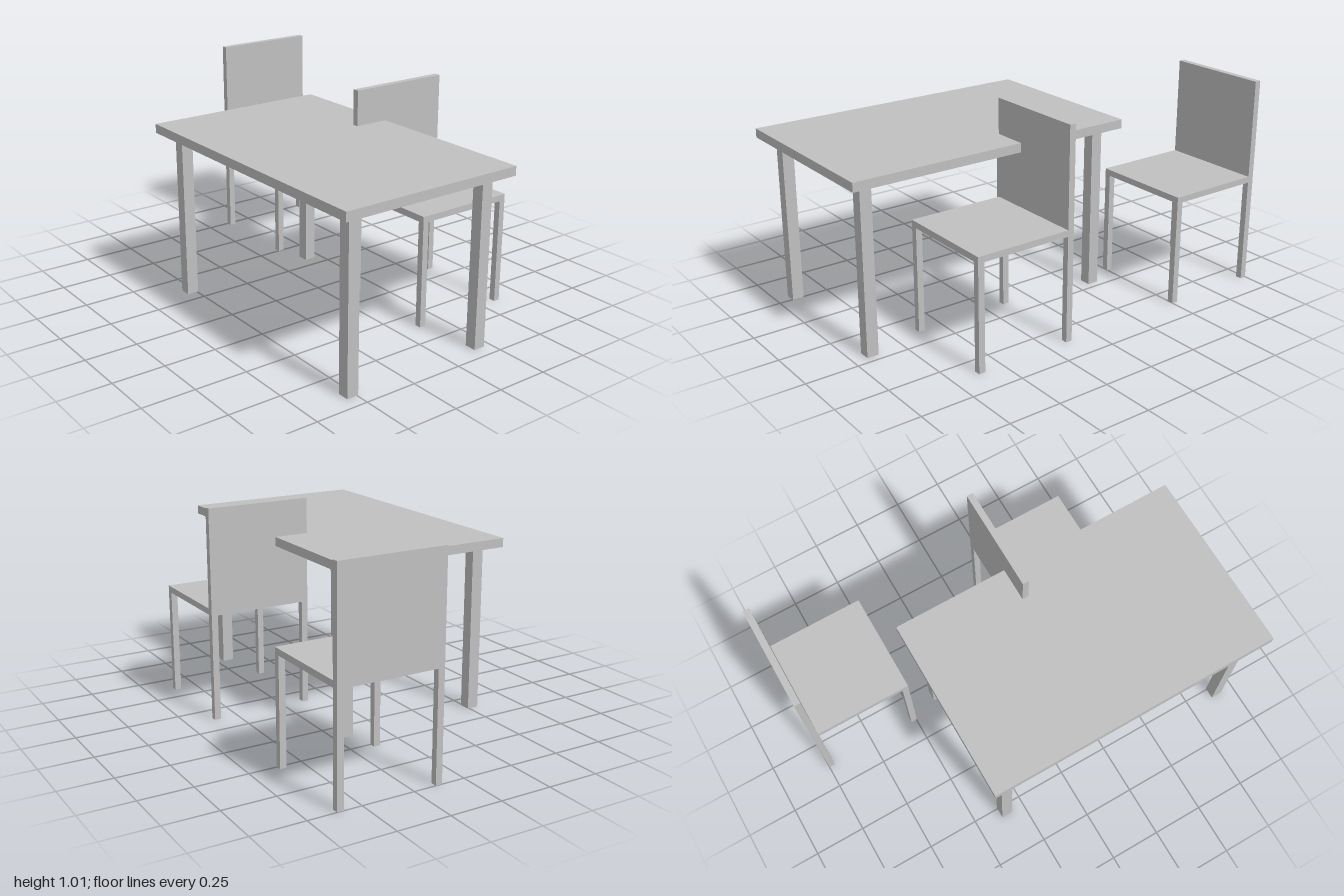
import * as THREE from 'three';

const grey = new THREE.MeshStandardMaterial({ color: 0xc0c0c0 });
grey.name = 'light grey';

// Box given by its lower and upper bounds on each axis
function box(parent, name, [x0, x1], [y0, y1], [z0, z1]) {
  const mesh = new THREE.Mesh(new THREE.BoxGeometry(x1 - x0, y1 - y0, z1 - z0), grey);
  mesh.position.set((x0 + x1) / 2, (y0 + y1) / 2, (z0 + z1) / 2);
  mesh.name = name;
  parent.add(mesh);
}

// Four square legs, inset from the corners of a footprint
function legs(parent, name, height, size, inset, [x0, x1], [z0, z1]) {
  for (const x of [x0 + inset, x1 - inset - size]) {
    for (const z of [z0 + inset, z1 - inset - size]) {
      box(parent, name, [x, x + size], [0, height], [z, z + size]);
    }
  }
}

function createTable() {
  const table = new THREE.Group();
  table.name = 'table';
  const x = [-0.438, 1], z = [-0.28, 0.616];
  box(table, 'tableTop', x, [0.8, 0.843], z);
  legs(table, 'tableLeg', 0.8, 0.056, 0.066, x, z);
  return table;
}

// Chair facing +x with its back at x = 0
function createChair(name) {
  const chair = new THREE.Group();
  chair.name = name;
  const w = 0.503, t = 0.031, x = [0, w], z = [-w / 2, w / 2];
  box(chair, 'seat', x, [0.509, 0.539], z);
  box(chair, 'backrest', [0, t], [0.539, 1.012], z);
  legs(chair, 'chairLeg', 0.509, t, 0, x, z);
  return chair;
}

export function createModel() {
  const model = new THREE.Group();
  model.name = 'diningSet';
  model.add(createTable());
  for (const [name, x] of [['outerChair', -1], ['tuckedChair', 0.123]]) {
    const chair = createChair(name);
    chair.position.set(x, 0, -0.3645);
    model.add(chair);
  }
  return model;
}
